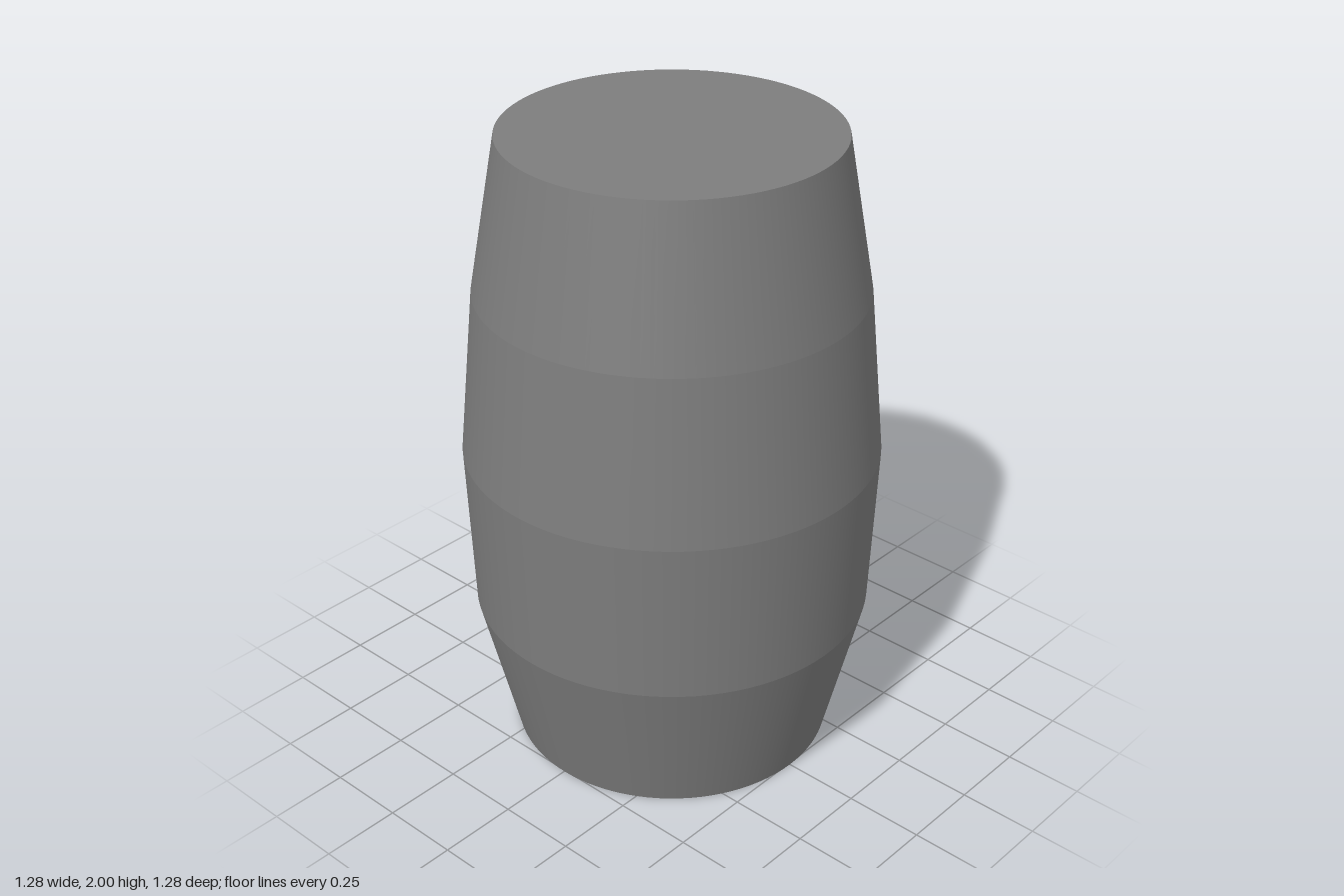
import * as THREE from 'three';

const SIDES = 96;

export function createModel() {
  const group = new THREE.Group();
  group.name = 'barrel';
  const material = new THREE.MeshStandardMaterial({ color: 0x7d7d7d });

  const add = (name, geometry, y) => {
    const mesh = new THREE.Mesh(geometry, material);
    mesh.name = name;
    mesh.position.y = y;
    group.add(mesh);
  };

  // Barrel profile as [radius, height] rings, bottom to top
  const rings = [[0.505, 0], [0.62, 0.48], [0.64, 1], [0.59, 1.52], [0.505, 2]];
  const names = ['lowerBand', 'lowerBelly', 'upperBelly', 'upperBand'];

  // Conical bands, smooth around and creased where they meet
  names.forEach((name, i) => {
    const [r0, y0] = rings[i];
    const [r1, y1] = rings[i + 1];
    add(name, new THREE.CylinderGeometry(r1, r0, y1 - y0, SIDES, 1, true), (y0 + y1) / 2);
  });

  // Flat end discs
  add('lid', new THREE.CircleGeometry(0.505, SIDES).rotateX(-Math.PI / 2), 2);
  add('base', new THREE.CircleGeometry(0.505, SIDES).rotateX(Math.PI / 2), 0);

  return group;
}
